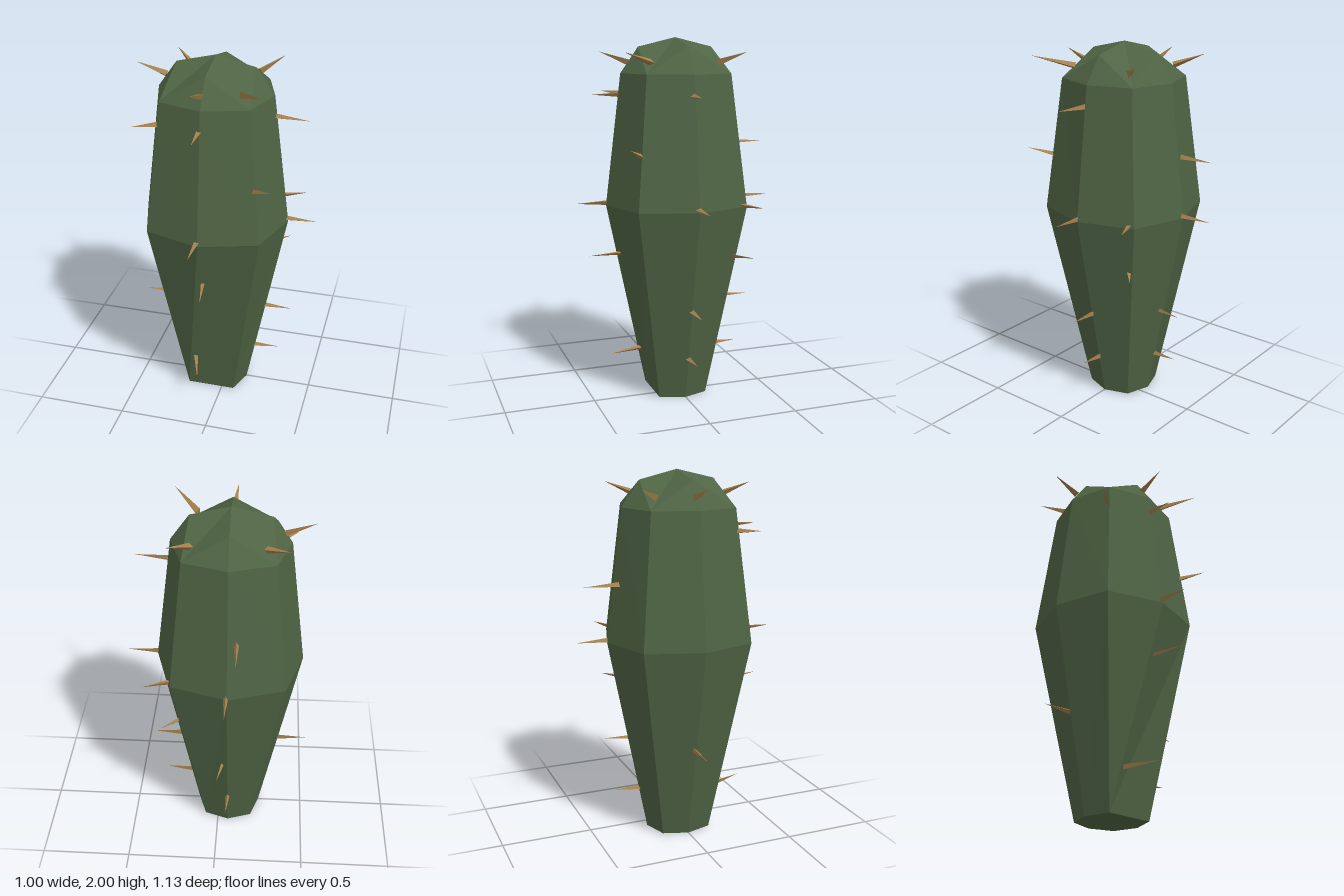
import * as THREE from 'three';

const CX = -0.06; // the body axis is a little off centre

// Eight-sided ring: vertices on the axes at radius a, corners at (d, d)
function ring(y, a, d) {
  return [[a, 0], [d, d], [0, a], [-d, d], [-a, 0], [-d, -d], [0, -a], [d, -d]]
    .map(([x, z]) => [CX + x, y, z]);
}

function createBody(material) {
  const base = ring(0, 0.18, 0.135);
  base[2] = base[3] = [-0.2, 0, 0.14]; // front rib runs into the corner
  base[1] = [0.07, 0, 0.14];
  const middle = ring(1.1, 0.4, 0.305);
  const shoulder = ring(1.81, 0.31, 0.235);
  const crown = ring(1.95, 0.21, 0.15);
  const apex = [CX, 2, 0];
  const foot = [CX, 0, 0];
  const points = [];
  const tri = (...corners) => corners.forEach((p) => points.push(...p));

  for (let i = 0; i < 8; i++) {
    const j = (i + 1) % 8;
    // Sides
    tri(base[j], base[i], middle[i]);
    if (i === 1) {
      points.length -= 9;
      tri(base[2], base[1], middle[1]);
    }
    tri(base[j], middle[i], middle[j]);
    tri(middle[i], shoulder[i], shoulder[j]);
    tri(middle[i], shoulder[j], middle[j]);
    // Underside
    if (i !== 2) tri(foot, base[i], base[j]);
    // Crown: raised ribs on the axes, valleys on the corners
    const [rib, valley] = i % 2 === 0 ? [i, j] : [j, i];
    if (rib === i) {
      tri(shoulder[rib], crown[rib], shoulder[valley]);
      tri(crown[rib], apex, shoulder[valley]);
    } else {
      tri(shoulder[rib], shoulder[valley], crown[rib]);
      tri(crown[rib], shoulder[valley], apex);
    }
  }
  const geometry = new THREE.BufferGeometry();
  geometry.setAttribute('position', new THREE.Float32BufferAttribute(points, 3));
  geometry.computeVertexNormals();
  const body = new THREE.Mesh(geometry, material);
  body.name = 'body';
  return body;
}

// Three-sided thorn from a base point to a tip, sunk slightly into the body
function createSpine([x, y, z, tx, ty, tz, radius = 0.016], material) {
  const start = new THREE.Vector3(x, y, z);
  const dir = new THREE.Vector3(tx, ty, tz).sub(start);
  const length = dir.length();
  const geometry = new THREE.ConeGeometry(radius, length, 3).toNonIndexed();
  geometry.translate(0, length / 2, 0);
  geometry.computeVertexNormals();
  const spine = new THREE.Mesh(geometry, material);
  spine.quaternion.setFromUnitVectors(new THREE.Vector3(0, 1, 0), dir.normalize());
  spine.position.copy(start);
  spine.name = 'spine';
  return spine;
}

export function createModel() {
  const green = new THREE.MeshStandardMaterial({ color: 0x4f6444 });
  green.name = 'cactus green';
  const tan = new THREE.MeshStandardMaterial({ color: 0xa6814d });
  tan.name = 'spine tan';

  const model = new THREE.Group();
  model.name = 'cactus';
  model.add(createBody(green));

  const spines = new THREE.Group();
  spines.name = 'spines';
  const rows = [
    // Crown
    [-0.33, 1.87, -0.01, -0.49, 1.925, -0.01, 0.02],
    [-0.24, 1.87, -0.19, -0.36, 1.925, -0.31, 0.02],
    [0.13, 1.87, -0.18, 0.24, 1.925, -0.3, 0.02],
    [0.12, 1.87, 0.19, 0.26, 1.925, 0.375, 0.02],
    [-0.065, 1.87, 0.26, -0.08, 1.925, 0.42, 0.02],
    // Upper body
    [0.26, 1.7, 0.01, 0.44, 1.7, 0.03],
    [-0.065, 1.7, 0.31, -0.06, 1.7, 0.47],
    [-0.31, 1.69, 0.24, -0.415, 1.7, 0.325],
    [-0.105, 1.415, -0.34, -0.11, 1.415, -0.54],
    [0.2, 1.39, 0.27, 0.315, 1.44, 0.37],
    // Waist
    [-0.055, 1.11, -0.38, -0.055, 1.11, -0.57],
    [0.33, 1.115, 0.005, 0.5, 1.115, 0.005],
    [-0.065, 1.115, 0.39, -0.065, 1.115, 0.565],
    [0.235, 1.11, -0.27, 0.39, 1.115, -0.335],
    // Lower body
    [-0.07, 0.825, 0.25, -0.02, 0.83, 0.51],
    [0.18, 0.825, -0.22, 0.305, 0.825, -0.325],
    [0.22, 0.53, 0, 0.38, 0.53, 0],
    [-0.33, 0.53, -0.01, -0.505, 0.53, -0.01],
    [-0.04, 0.535, -0.22, -0.005, 0.54, -0.42],
    // Near the foot
    [0.16, 0.24, 0, 0.31, 0.25, 0],
    [-0.15, 0.23, 0.17, -0.08, 0.235, 0.38],
    [-0.06, 0.24, -0.21, -0.055, 0.245, -0.37],
  ];
  rows.forEach((row) => spines.add(createSpine(row, tan)));
  model.add(spines);
  return model;
}
